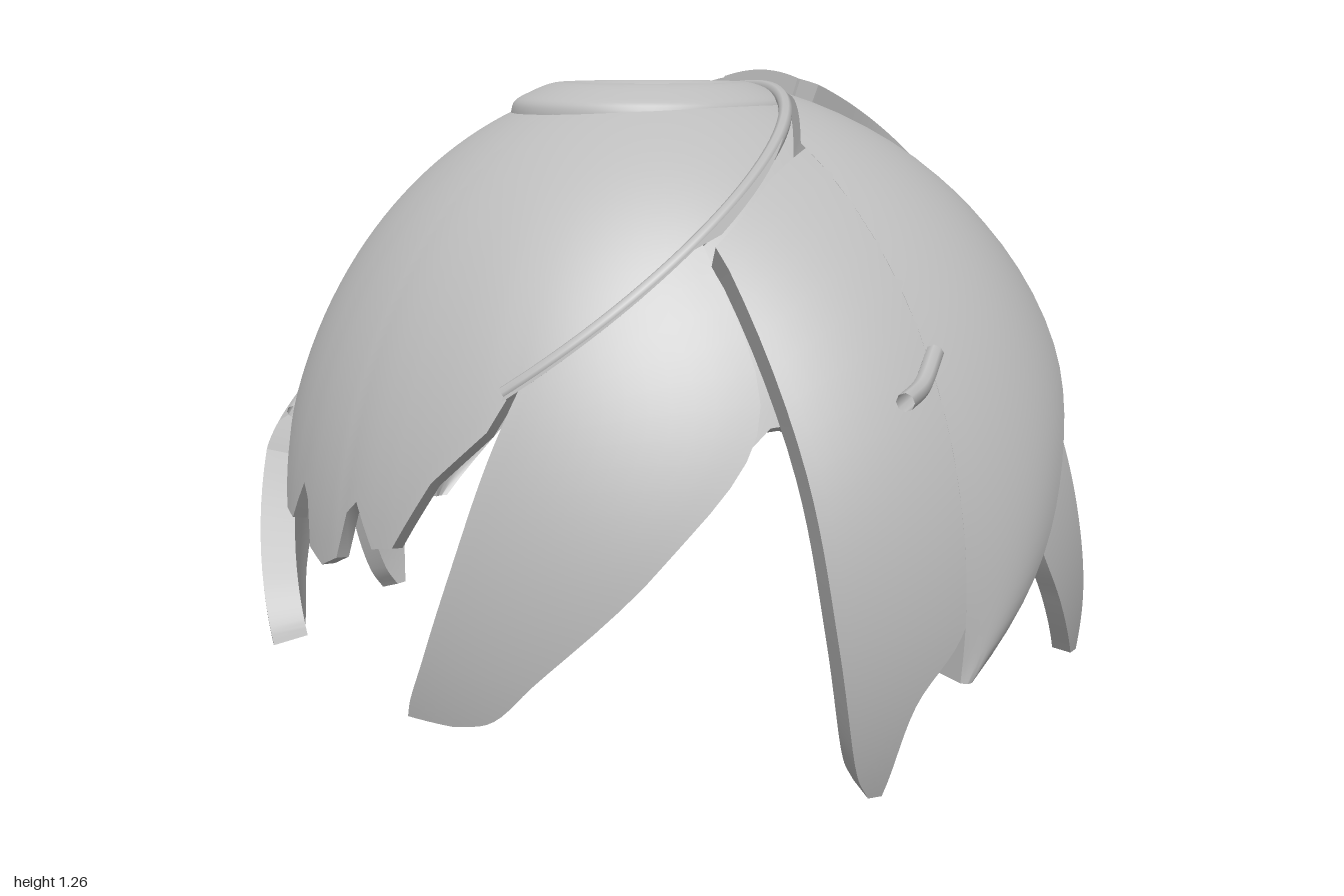
import * as THREE from 'three';
import { toCreasedNormals } from 'three/addons/utils/BufferGeometryUtils.js';

const V = (x, y, z) => new THREE.Vector3(x, y, z);
const CENTRE = V(0, 0.3, 0);
const CAP = [0.785, 0.955, 0.825], BACK = [0.825, 0.965, 0.87];
const OUTER = [0.88, 0.955, 0.995], FRINGE = [0.92, 1.0, 1.0];
const UNDER_LEFT = [0.87, 0.93, 0.97], UNDER_RIGHT = [0.86, 0.9, 0.95];

// Tilted plane in which the hair band lies
const bandY = (x, z) => 1.07 + 0.724 * x + 0.185 * z;

// Push a point radially onto an ellipsoid around the head centre
function onto(p, [a, b, c], scale = 1) {
  const d = p.clone().sub(CENTRE);
  const k = Math.hypot(d.x / a, d.y / b, d.z / c);
  return d.multiplyScalar(scale / k).add(CENTRE);
}

// Closed curved plate: outer surface f(u, v), inner surface drawn toward the head centre
function shell(f, rows, cols, thick) {
  const pos = [], idx = [], K = 2 * (cols + 1);
  for (let i = 0; i <= rows; i++) {
    const ring = [], inner = [];
    for (let j = 0; j <= cols; j++) {
      const p = f(j / cols, i / rows);
      ring.push(p);
      inner.unshift(p.clone().sub(CENTRE).multiplyScalar(1 - thick).add(CENTRE));
    }
    for (const p of ring.concat(inner)) pos.push(p.x, p.y, p.z);
  }
  const quad = (a, b, c, d) => idx.push(a, b, c, a, c, d);
  for (let i = 0; i < rows; i++) {
    for (let k = 0; k < K; k++) {
      const n = (k + 1) % K;
      quad(i * K + k, i * K + n, (i + 1) * K + n, (i + 1) * K + k);
    }
  }
  const e = rows * K;
  for (let j = 0; j < cols; j++) {
    quad(j + 1, j, K - 1 - j, K - 2 - j);
    quad(e + j, e + j + 1, e + K - 2 - j, e + K - 1 - j);
  }
  // Turn the faces outward if the solid came out inverted
  const at = (i) => V(pos[3 * i], pos[3 * i + 1], pos[3 * i + 2]).sub(CENTRE);
  let volume = 0;
  for (let i = 0; i < idx.length; i += 3) volume += at(idx[i]).dot(at(idx[i + 1]).cross(at(idx[i + 2])));
  if (volume < 0) idx.reverse();
  const g = new THREE.BufferGeometry();
  g.setAttribute('position', new THREE.Float32BufferAttribute(pos, 3));
  g.setIndex(idx);
  return toCreasedNormals(g, 0.7);
}

// A lock of hair between two edge curves running from root to tip
function lock(left, right, radii, thick, { taper = 0, bulge = 0, side = 1, clip = false } = {}) {
  const curve = (pts) => new THREE.CatmullRomCurve3(pts.map(([x, y, z]) => V(x, y, z * side)));
  const a = curve(left), b = curve(right);
  return shell((u, v) => {
    const scale = 1 - taper * v + bulge * Math.sin(Math.PI * u);
    let p = onto(a.getPoint(v).lerp(b.getPoint(v), u), radii, scale);
    for (let n = 0; clip && n < 10 && p.y > bandY(p.x, p.z); n++) {
      p.y = bandY(p.x, p.z);
      p = onto(p, radii, scale);
    }
    return p;
  }, 28, 12, thick);
}

// Hem height of the cap by angle from the face (0) to the nape (180)
const HEM = [[0, 1.05], [22, 1.03], [40, 0.93], [56, 0.77], [72, 0.64], [90, 0.56], [100, 0.58], [109, 0.66], [116, 0.58], [126, 0.48],
  [138, 0.45], [143, 0.6], [146, 0.73], [150, 0.63], [158, 0.53], [164, 0.4], [168, 0.39], [172, 0.47], [174.5, 0.44], [175, 0.36], [180, 0.33]];
function hem(deg) {
  let i = 1;
  while (i < HEM.length - 1 && HEM[i][0] < deg) i++;
  const [a, ya] = HEM[i - 1], [b, yb] = HEM[i];
  return THREE.MathUtils.mapLinear(deg, a, b, ya, yb);
}

// Where a ray in the band plane leaves an ellipsoid
function bandPoint(angle, radii, scale = 1) {
  let lo = 0, hi = 1.5;
  const at = (d) => {
    const x = -0.22 + d * Math.cos(angle), z = -0.08 + d * Math.sin(angle);
    return V(x, bandY(x, z), z);
  };
  for (let n = 0; n < 30; n++) {
    const m = (lo + hi) / 2, p = at(m);
    const k = Math.hypot(p.x / radii[0], (p.y - CENTRE.y) / radii[1], p.z / radii[2]);
    if (k < scale) lo = m; else hi = m;
  }
  return at(lo);
}

export function createModel() {
  const model = new THREE.Group();
  const hair = new THREE.MeshStandardMaterial({ color: 0xbcbcbc });
  hair.name = 'grey hair';
  hair.side = THREE.DoubleSide;
  const add = (name, geometry) => {
    const mesh = new THREE.Mesh(geometry, hair);
    mesh.name = name;
    model.add(mesh);
    return mesh;
  };

  // Cap with a ragged nape and a flattened top beneath the crown
  add('cap', shell((u, v) => {
    const a = (u * 2 - 1) * Math.PI;
    const p = Math.max(v, 0.002) * Math.acos((hem(Math.abs(a) * 180 / Math.PI) - CENTRE.y) / CAP[1]);
    const y = Math.min(CENTRE.y + CAP[1] * Math.cos(p), 1.222);
    return V(CAP[0] * Math.sin(p) * Math.cos(a), y, CAP[2] * Math.sin(p) * Math.sin(a));
  }, 32, 180, 0.035));

  // Shallow dished crown
  const crown = [[0, 1.228], [0.12, 1.226], [0.15, 1.233], [0.18, 1.243], [0.21, 1.24], [0.25, 1.224], [0.285, 1.203], [0.292, 1.17]];
  const profile = new THREE.SplineCurve(crown.map(([r, y]) => new THREE.Vector2(r, y))).getPoints(28).reverse();
  add('crown', new THREE.LatheGeometry(profile, 64)).position.set(-0.01, 0, -0.01);

  // Band: flat ledge and raised rim, open at the nape
  const from = -2.3, to = 2.25, steps = 90, ledge = [], faces = [], rim = [];
  for (let i = 0; i <= steps; i++) {
    const a = from + (to - from) * i / steps;
    let out = bandPoint(a, OUTER, 0.985);
    if (out.x < -0.29) out = bandPoint(a, BACK);
    ledge.push(...bandPoint(a, CAP, 0.97).toArray(), ...out.toArray());
    rim.push(bandPoint(a, CAP, 1.015));
    if (i < steps) faces.push(2 * i, 2 * i + 2, 2 * i + 1, 2 * i + 1, 2 * i + 2, 2 * i + 3);
  }
  const ledgeGeometry = new THREE.BufferGeometry();
  ledgeGeometry.setAttribute('position', new THREE.Float32BufferAttribute(ledge, 3));
  ledgeGeometry.setIndex(faces);
  ledgeGeometry.computeVertexNormals();
  add('bandLedge', ledgeGeometry);
  add('bandRim', new THREE.TubeGeometry(new THREE.CatmullRomCurve3(rim), 120, 0.014, 8));

  for (const side of [1, -1]) {
    const tag = side > 0 ? 'Left' : 'Right', o = { side, clip: true };
    // Root points follow the tilted band, lower on one side
    const root = side > 0 ? [-0.3, 0.98, 0.62] : [-0.29, 0.73, 0.83];
    const mid = side > 0 ? [0, 1.14, 0.48] : [0, 0.97, 0.71];
    const backRoot = side > 0 ? [-0.28, 0.97, 0.55] : [-0.28, 0.79, 0.68];

    // Large side locks
    add('sideRearLock' + tag, lock(
      [root, [-0.3, 0.6, 0.9], [-0.27, 0.3, 0.95], [-0.21, 0.06, 0.92], [-0.18, 0.015, 0.91]],
      [[mid[0] + 0.03, mid[1], mid[2]], [0.03, 0.7, 0.9], [-0.02, 0.32, 0.99], [-0.12, 0.18, 0.97], [-0.155, 0.015, 0.92]],
      OUTER, 0.06, o));
    add('sideFrontLock' + tag, lock(
      [mid, [-0.01, 0.7, 0.9], [-0.02, 0.4, 0.99], [-0.03, 0.21, 0.99]],
      [[0.25, 1.22, 0.08], [0.45, 1.08, 0.2], [0.46, 0.95, 0.51], [0.42, 0.75, 0.74], [0.3, 0.57, 0.89], [0.18, 0.4, 0.97], [0, 0.21, 0.99]],
      OUTER, 0.06, { ...o, bulge: 0.008 }));

    // Broad curved locks at the back, as deep as the cap beneath them
    add('backLock' + tag, lock(
      [backRoot, [-0.29, 0.66, 0.74], [-0.46, 0.42, 0.69], [-0.62, 0.2, 0.53], [-0.66, 0.12, 0.45], [-0.7, 0.1, 0.38]],
      [[-0.62, 0.72, 0.46], [-0.66, 0.6, 0.44], [-0.71, 0.4, 0.4], [-0.74, 0.22, 0.34], [-0.75, 0.13, 0.3], [-0.75, 0.1, 0.29]],
      BACK, 0.085, o));

    // Pointed fringe beside the centre tip
    add('fringeInner' + tag, lock(
      [[0.26, 1.24, 0.02], [0.45, 1.12, 0.06], [0.55, 1.04, 0.15], [0.62, 0.95, 0.235]],
      [[0.26, 1.22, 0.19], [0.42, 1.13, 0.2], [0.53, 1.03, 0.225], [0.615, 0.945, 0.248]],
      FRINGE, 0.04, { side, taper: 0.04 }));
    add('fringeOuter' + tag, lock(
      [[0.28, 1.2, 0.1], [0.45, 1.09, 0.2], [0.495, 1.0, 0.34], [0.53, 0.91, 0.44]],
      [[0.3, 1.15, 0.25], [0.43, 1.04, 0.34], [0.485, 0.95, 0.42], [0.525, 0.9, 0.455]],
      OUTER, 0.05, { side, taper: 0.01 }));

    // Small flick standing off the side
    const flick = new THREE.CatmullRomCurve3([V(0.01, 0.78, 0.86 * side), V(-0.07, 0.735, 0.92 * side), V(-0.15, 0.72, 0.97 * side)]);
    add('flick' + tag, new THREE.TubeGeometry(flick, 12, 0.017, 8));
  }

  // Centre fringe tip
  const tip = [[0.26, 1.25, 0.13], [0.45, 1.13, 0.16], [0.56, 1.02, 0.12], [0.66, 0.91, 0.05], [0.77, 0.75, 0.008]];
  add('fringeCentre', lock(tip, tip.map(([x, y, z]) => [x, y, -z]), FRINGE, 0.04, { taper: 0.05, bulge: 0.008 }));

  // Loose locks hanging beneath the side hair
  add('lowerLockLeft', lock(
    [[0.15, 0.6, 0.9], [0.21, 0.42, 0.94], [0.28, 0.3, 0.93], [0.35, 0.18, 0.9]],
    [[0.34, 0.68, 0.8], [0.37, 0.45, 0.86], [0.39, 0.28, 0.88], [0.38, 0.18, 0.89]], UNDER_LEFT, 0.04));
  add('lowerLockRight', lock(
    [[0.25, 0.68, -0.83], [0.36, 0.5, -0.82], [0.45, 0.32, -0.78], [0.51, 0.17, -0.75]],
    [[0.42, 0.78, -0.68], [0.52, 0.55, -0.7], [0.57, 0.32, -0.71], [0.545, 0.17, -0.74]], UNDER_RIGHT, 0.04));

  return model;
}
